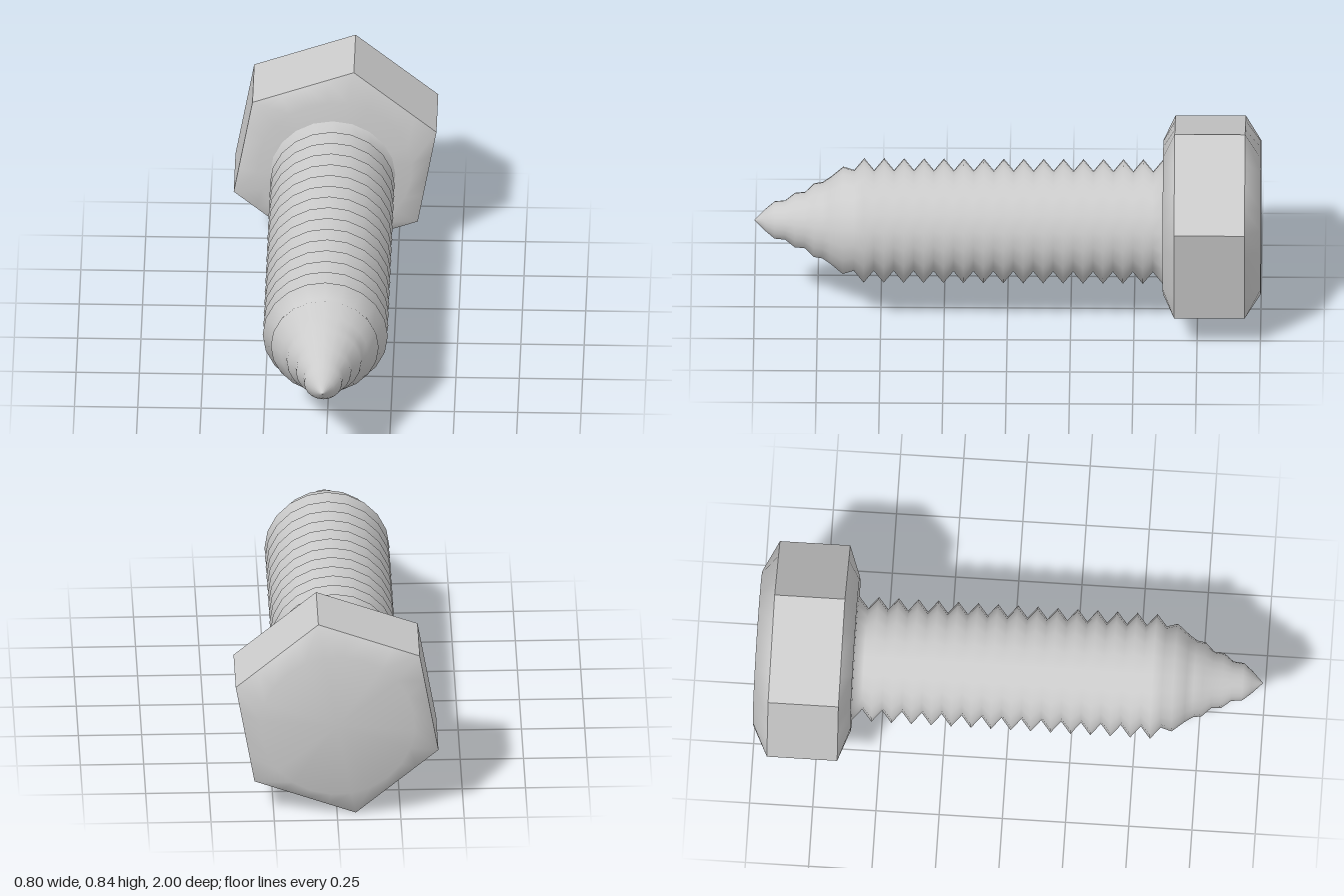
import * as THREE from 'three';

const SIDES = 24;                // outline points of the head, four per flat
const HEX_R = 0.426;             // corner radius of the hexagon
const TURN = THREE.MathUtils.degToRad(80);

// Points around the z axis; radius may depend on the angle
function ring(radiusAt, z) {
  return Array.from({ length: SIDES }, (_, i) => {
    const a = (i / SIDES) * Math.PI * 2;
    const r = radiusAt(a);
    return [r * Math.cos(a + TURN), r * Math.sin(a + TURN), z];
  });
}

const circle = (r) => () => r;
const hexagon = (a) => HEX_R * Math.cos(Math.PI / 6) / Math.cos((a % (Math.PI / 3)) - Math.PI / 6);

// Smooth surface through rings ordered from -z to +z, or outside in with flip
function loft(rings, flip = false) {
  const index = [];
  for (let k = 0; k < rings.length - 1; k++) {
    for (let i = 0; i < SIDES; i++) {
      const j = (i + 1) % SIDES;
      const a = k * SIDES + i, b = k * SIDES + j, c = a + SIDES, d = b + SIDES;
      if (flip) index.push(a, c, b, b, c, d);
      else index.push(a, b, c, b, d, c);
    }
  }
  const geometry = new THREE.BufferGeometry();
  geometry.setAttribute('position', new THREE.Float32BufferAttribute(rings.flat(2), 3));
  geometry.setIndex(index);
  geometry.computeVertexNormals();
  return geometry;
}

export function createModel() {
  const model = new THREE.Group();
  model.name = 'hexBolt';
  const material = new THREE.MeshStandardMaterial({ color: 0xcccccc });
  const flat = new THREE.MeshStandardMaterial({ color: 0xcccccc, flatShading: true });

  const add = (name, geometry, parent, mat = material) => {
    const mesh = new THREE.Mesh(geometry, mat);
    mesh.name = name;
    parent.add(mesh);
    return mesh;
  };

  // Hexagonal head: flat sides and two softly bevelled faces
  const head = new THREE.Group();
  head.name = 'head';
  head.position.y = 0.42;
  model.add(head);
  const back = -0.938, front = -0.66;
  add('headSides', loft([ring(hexagon, back), ring(hexagon, front)]), head, flat);
  add('headFrontFace', loft([
    ring(hexagon, front), ring(circle(0.305), -0.614), ring(circle(0), -0.614),
  ]), head);
  add('headBackFace', loft([
    ring(hexagon, back), ring(circle(0.305), -1), ring(circle(0), -1),
  ], true), head);

  // Threaded shank: ridges at an even pitch, then a stepped point
  const profile = [];
  const pitch = 0.0787, ridges = 16, lastRidge = 0.567;
  for (let i = ridges - 1; i >= 0; i--) {
    const z = lastRidge - i * pitch;
    profile.push([0.247, z], [0.2, z + pitch / 2]);
  }
  profile.push(
    [0.213, 0.65], [0.172, 0.7], [0.152, 0.73], [0.146, 0.765], [0.112, 0.8],
    [0.108, 0.84], [0.078, 0.878], [0.074, 0.92], [0.045, 0.955], [0, 1],
  );
  const shank = new THREE.LatheGeometry(profile.map(([r, z]) => new THREE.Vector2(r, z)), 20);
  shank.rotateX(Math.PI / 2);
  add('threadedShank', shank, model).position.set(-0.008, 0.393, 0);

  return model;
}
